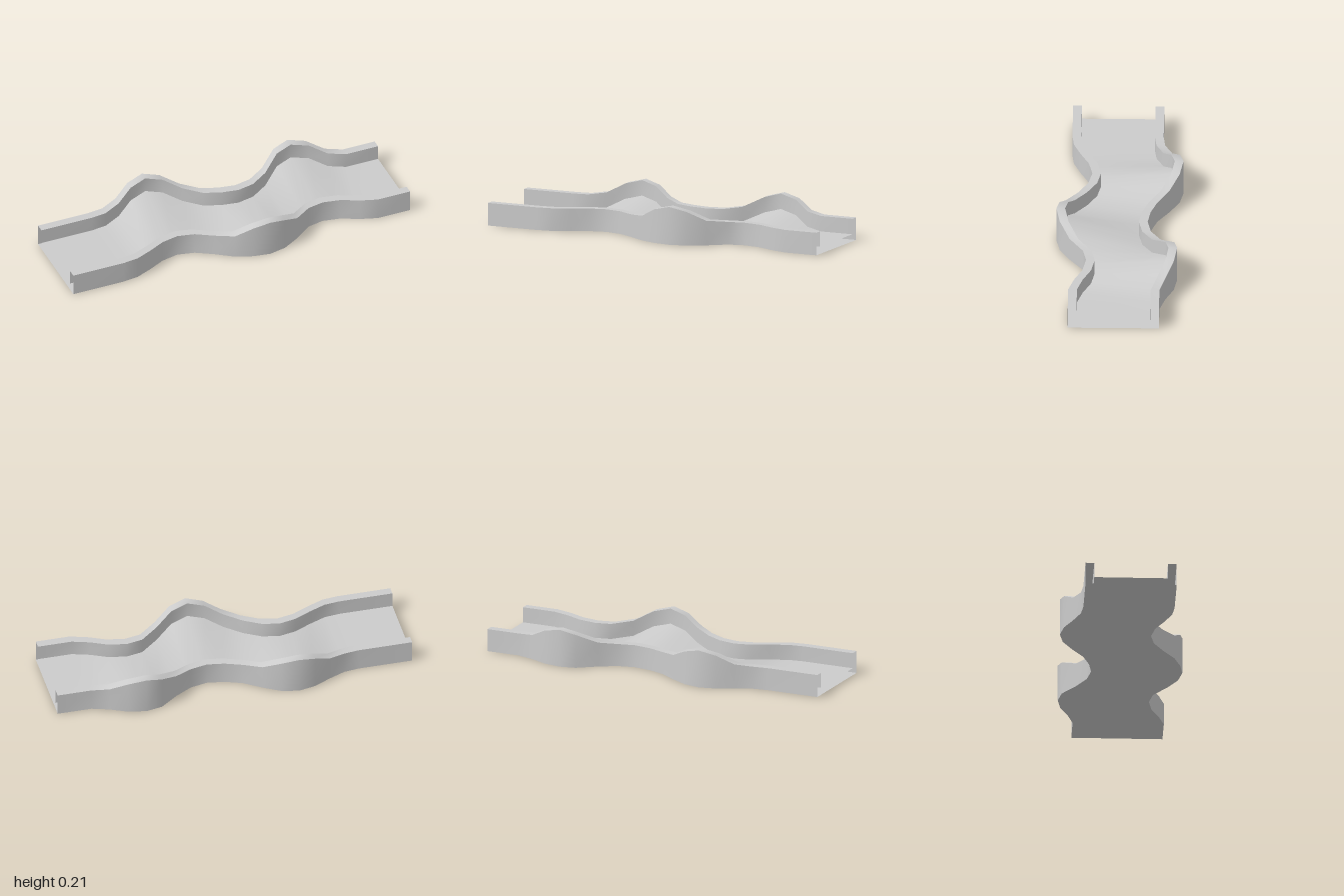
import * as THREE from 'three';

// Stations along the track: x, z of the back edge, bank lift at back, bank lift at front
const stations = [
  [-1, -0.23, 0, 0], [-0.7, -0.23, 0, 0], [-0.615, -0.24, 0, 0],
  [-0.52, -0.28, 0.012, 0], [-0.43, -0.325, 0.062, 0], [-0.335, -0.345, 0.085, 0],
  [-0.24, -0.325, 0.062, 0], [-0.145, -0.27, 0.014, 0], [-0.05, -0.205, 0, 0.012],
  [0.045, -0.17, 0, 0.062], [0.14, -0.155, 0, 0.085], [0.235, -0.175, 0, 0.062],
  [0.33, -0.23, 0.011, 0.011], [0.43, -0.305, 0.062, 0], [0.52, -0.323, 0.085, 0],
  [0.62, -0.305, 0.062, 0], [0.715, -0.26, 0.012, 0], [0.81, -0.23, 0, 0], [1, -0.23, 0, 0],
];
const WIDTH = 0.5, WALL = 0.048, FLOOR = 0.04, TOP = 0.126;

// Closed cross-section as [z, y], starting at the front bottom edge
function section([, back, liftBack, liftFront]) {
  const front = back + WIDTH;
  return [
    [front, 0], [front, TOP + liftFront],
    [front - WALL, TOP + liftFront], [front - WALL, FLOOR + liftFront],
    [back + WALL, FLOOR + liftBack], [back + WALL, TOP + liftBack],
    [back, TOP + liftBack], [back, 0],
  ];
}

// One strip along the track between two neighbouring section corners, smooth lengthwise
function strip(k) {
  const positions = [], index = [];
  stations.forEach((s, i) => {
    const p = section(s);
    for (const [z, y] of [p[k], p[(k + 1) % p.length]]) positions.push(s[0], y, z);
    if (i > 0) {
      const a = 2 * (i - 1);
      index.push(a, a + 2, a + 3, a, a + 3, a + 1);
    }
  });
  const g = new THREE.BufferGeometry();
  g.setAttribute('position', new THREE.Float32BufferAttribute(positions, 3));
  g.setIndex(index);
  g.computeVertexNormals();
  return g;
}

export function createModel() {
  const group = new THREE.Group();
  group.name = 'bankedTrack';
  // The shell is hollow and open at both ends
  const material = new THREE.MeshStandardMaterial({ color: 0xcccccc, side: THREE.DoubleSide });
  const names = ['frontOuterWall', 'frontWallTop', 'frontInnerWall', 'trackFloor',
    'backInnerWall', 'backWallTop', 'backOuterWall', 'underside'];
  names.forEach((name, k) => {
    const mesh = new THREE.Mesh(strip(k), material);
    mesh.name = name;
    group.add(mesh);
  });
  return group;
}
